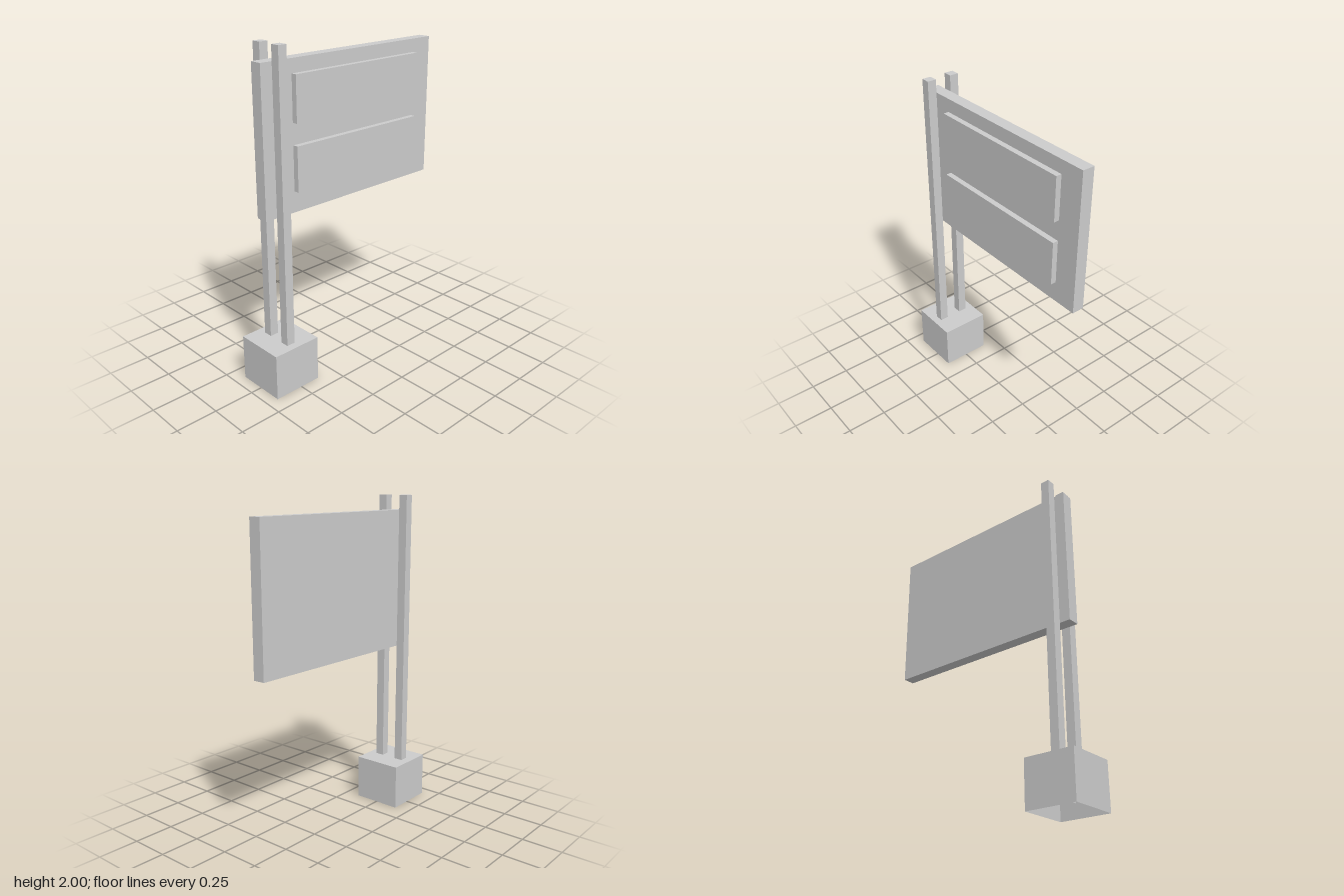
import * as THREE from 'three';

const solid = new THREE.MeshStandardMaterial({ color: 0xcccccc, flatShading: true });
const shell = new THREE.MeshStandardMaterial({ color: 0xcccccc, flatShading: true, side: THREE.DoubleSide });

// Box given by its [min, max] range on each axis; optionally without a bottom face.
function block(name, [x0, x1], [y0, y1], [z0, z1], openBottom = false) {
  const geo = new THREE.BoxGeometry(x1 - x0, y1 - y0, z1 - z0);
  if (openBottom) {
    const index = Array.from(geo.index.array);
    index.splice(18, 6); // the -y face
    geo.setIndex(index);
    geo.clearGroups();
  }
  geo.translate((x0 + x1) / 2, (y0 + y1) / 2, (z0 + z1) / 2);
  const mesh = new THREE.Mesh(geo, openBottom ? shell : solid);
  mesh.name = name;
  return mesh;
}

export function createModel() {
  const group = new THREE.Group();
  group.name = 'signpost';

  // Hollow footing, open underneath
  group.add(block('base', [-0.155, 0.155], [0, 0.28], [0.37, 0.68], true));

  // Two posts clamping the board, their feet ending inside the footing
  group.add(block('rightPost', [-0.101, -0.046], [0.07, 2], [0.504, 0.558], true));
  group.add(block('leftPost', [0.052, 0.107], [0.07, 2], [0.504, 0.558], true));

  // Board cantilevered towards the back
  group.add(block('board', [-0.039, 0.035], [1.05, 1.91], [-0.68, 0.62]));

  // Raised panels on the left face of the board
  for (const [name, y] of [['upperPanel', 1.565], ['lowerPanel', 1.175]]) {
    group.add(block(name, [0.03, 0.069], [y, y + 0.265], [-0.535, 0.416]));
  }
  return group;
}
